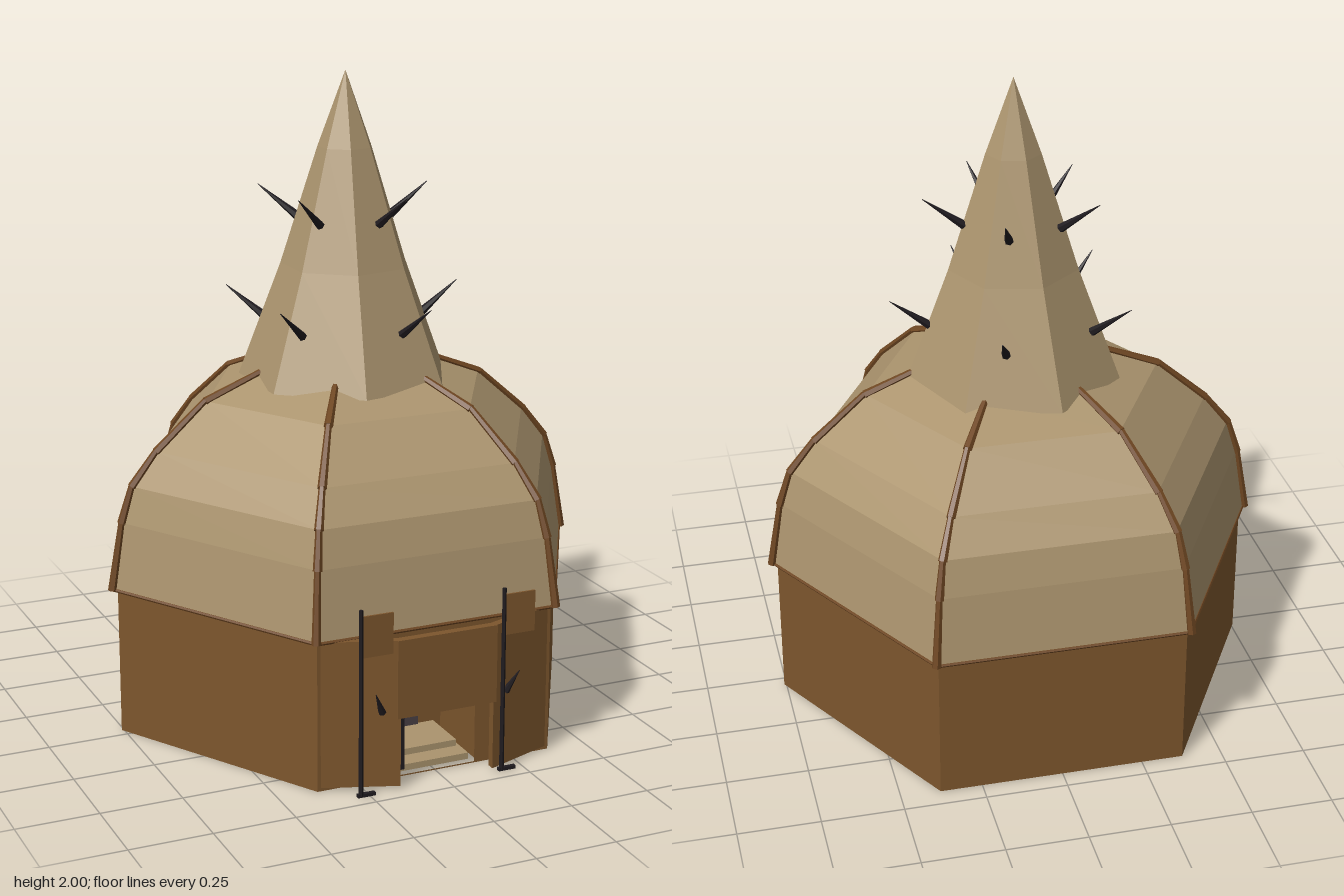
import * as THREE from 'three';

const mat = (name, color, side = THREE.FrontSide) => {
  const m = new THREE.MeshStandardMaterial({ color, side, flatShading: true });
  m.name = name;
  return m;
};

export function createModel() {
  const hide = mat('tan hide', 0xab946e);
  const wood = mat('brown wood', 0x7d562d, THREE.DoubleSide);
  const trim = mat('dark brown trim', 0x6f4722);
  const iron = mat('black iron', 0x1f1b1f);
  const cloth = mat('dusky door', 0x4a4045, THREE.DoubleSide);
  const root = new THREE.Group();
  const hut = new THREE.Group(); // hexagonal hut, set slightly back
  hut.name = 'hut';
  hut.position.z = -0.035;
  root.add(hut);

  const V = (x, y, z) => new THREE.Vector3(x, y, z);
  const polar = (r, y, a) => V(r * Math.cos(a), y, r * Math.sin(a));
  const add = (parent, name, geo, material) => {
    const m = new THREE.Mesh(geo, material);
    m.name = name;
    parent.add(m);
    return m;
  };
  const box = (parent, name, material, x0, x1, y0, y1, z0, z1) => {
    const m = add(parent, name, new THREE.BoxGeometry(x1 - x0, y1 - y0, z1 - z0), material);
    m.position.set((x0 + x1) / 2, (y0 + y1) / 2, (z0 + z1) / 2);
    return m;
  };
  // Round bar from a to b
  const bar = (parent, name, material, a, b, ra, rb, sides = 6) => {
    const d = b.clone().sub(a);
    const m = add(parent, name, new THREE.CylinderGeometry(rb, ra, d.length(), sides), material);
    m.position.copy(a).add(b).multiplyScalar(0.5);
    m.quaternion.setFromUnitVectors(V(0, 1, 0), d.normalize());
    return m;
  };
  // Upright prism from a plan outline of [x, z] points
  const prism = (parent, name, material, plan, y0, y1) => {
    const s = new THREE.Shape(plan.map(([x, z]) => new THREE.Vector2(x, -z)));
    const g = new THREE.ExtrudeGeometry(s, { depth: y1 - y0, bevelEnabled: false });
    g.rotateX(-Math.PI / 2).translate(0, y0, 0);
    return add(parent, name, g, material);
  };
  const lathe = (points, sides) => new THREE.LatheGeometry(
    points.map(([r, y]) => new THREE.Vector2(r, y)), sides, Math.PI / 2);

  // Walls: five plain panels and a front one with a doorway
  const R = 0.757, H = 0.46, apothem = R * Math.cos(Math.PI / 6);
  for (let i = 0; i < 6; i++) {
    const s = new THREE.Shape([[-R / 2, 0], [R / 2, 0], [R / 2, H], [-R / 2, H]]
      .map(p => new THREE.Vector2(...p)));
    if (i === 0) {
      s.holes.push(new THREE.Path([[-0.13, 0.004], [-0.13, 0.225], [0.13, 0.225], [0.13, 0.004]]
        .map(p => new THREE.Vector2(...p))));
    }
    const g = new THREE.ShapeGeometry(s).translate(0, 0, apothem).rotateY(i * Math.PI / 3);
    add(hut, i ? 'wall' : 'frontWall', g, wood);
  }
  const floor = new THREE.CircleGeometry(R, 6).rotateX(Math.PI / 2);
  add(hut, 'floor', floor, hide);

  // Dome with a small overhang at the eaves
  const dome = [[0.77, 0.46], [0.735, 0.67], [0.7, 0.78], [0.62, 0.88], [0.46, 1.02], [0.28, 1.09]];
  add(hut, 'dome', lathe([[0.74, 0.46], ...dome, [0, 1.13]], 6), hide);

  // Ribs on the dome edges and beams along the eaves
  for (let i = 0; i < 6; i++) {
    const a = i * Math.PI / 3;
    for (let k = 0; k < dome.length - 1; k++) {
      const [r0, y0] = dome[k], [r1, y1] = dome[k + 1];
      bar(hut, 'rib', trim, polar(r0 + 0.004, y0, a), polar(r1 + 0.004, y1 + 0.004, a), 0.014, 0.01);
    }
    bar(hut, 'eaveBeam', trim, polar(0.768, 0.461, a), polar(0.768, 0.461, a + Math.PI / 3), 0.006, 0.006);
  }

  // Seven-sided spire
  add(hut, 'spire', lathe([[0.332, 1.06], [0.2, 1.41], [0.085, 1.77], [0, 2]], 7), hide);
  add(hut, 'spireBase', new THREE.CircleGeometry(0.332, 7).rotateX(Math.PI / 2).translate(0, 1.06, 0), hide);

  // Two rings of five spikes on the spire
  for (const [r, y] of [[0.255, 1.23], [0.15, 1.55]]) {
    for (let i = 0; i < 5; i++) {
      const a = i * Math.PI * 2 / 5;
      bar(hut, 'spike', iron, polar(r, y, a), polar(r + 0.125, y + 0.095, a), 0.014, 0.001);
    }
  }

  // Recess behind the doorway
  box(root, 'recessBack', wood, -0.16, 0.16, 0.01, 0.23, 0.37, 0.38);
  box(root, 'recessCeiling', wood, -0.14, 0.14, 0.226, 0.236, 0.38, 0.615);
  for (const s of [-1, 1]) {
    box(root, 'recessSide', wood, s * 0.14 - 0.005, s * 0.14 + 0.005, 0.01, 0.23, 0.38, 0.615);
  }
  box(root, 'innerDoor', cloth, -0.055, 0.055, 0.045, 0.225, 0.38, 0.388);
  box(root, 'lowerStep', hide, -0.115, 0.12, 0.005, 0.025, 0.4, 0.6);
  box(root, 'upperStep', hide, -0.105, 0.11, 0.025, 0.045, 0.38, 0.54);
  box(root, 'doorLeaf', iron, -0.155, -0.11, 0.03, 0.215, 0.625, 0.64);

  // Porch screen, open at the top
  prism(root, 'porchLintel', wood, [[-0.16, 0.675], [-0.16, 0.7], [0.16, 0.7], [0.16, 0.675]], 0.22, H);
  for (const s of [-1, 1]) {
    prism(root, 'porchSide', wood,
      [[s * 0.15, 0.7], [s * 0.37, 0.62], [s * 0.32, 0.615], [s * 0.15, 0.675]], 0.01, H);
    box(root, 'porchBracket', cloth, s * 0.19 - 0.027, s * 0.19 + 0.027, 0.2, 0.23, 0.62, 0.665);
    bar(root, 'porchSpike', iron, V(s * 0.2, 0.24, 0.68), V(s * 0.232, 0.31, 0.705), 0.012, 0.001);
  }

  // Banner poles
  for (const x of [-0.28, 0.176]) {
    const p = new THREE.Group();
    p.name = 'bannerPole';
    p.position.set(x, 0, 0.708);
    root.add(p);
    bar(p, 'pole', iron, V(0, 0.005, 0), V(0, 0.575, 0), 0.007, 0.006);
    box(p, 'banner', wood, 0, 0.1, 0.43, 0.555, -0.003, 0.003);
    box(p, 'foot', iron, -0.01, 0.045, 0.002, 0.012, -0.008, 0.005);
  }
  return root;
}
